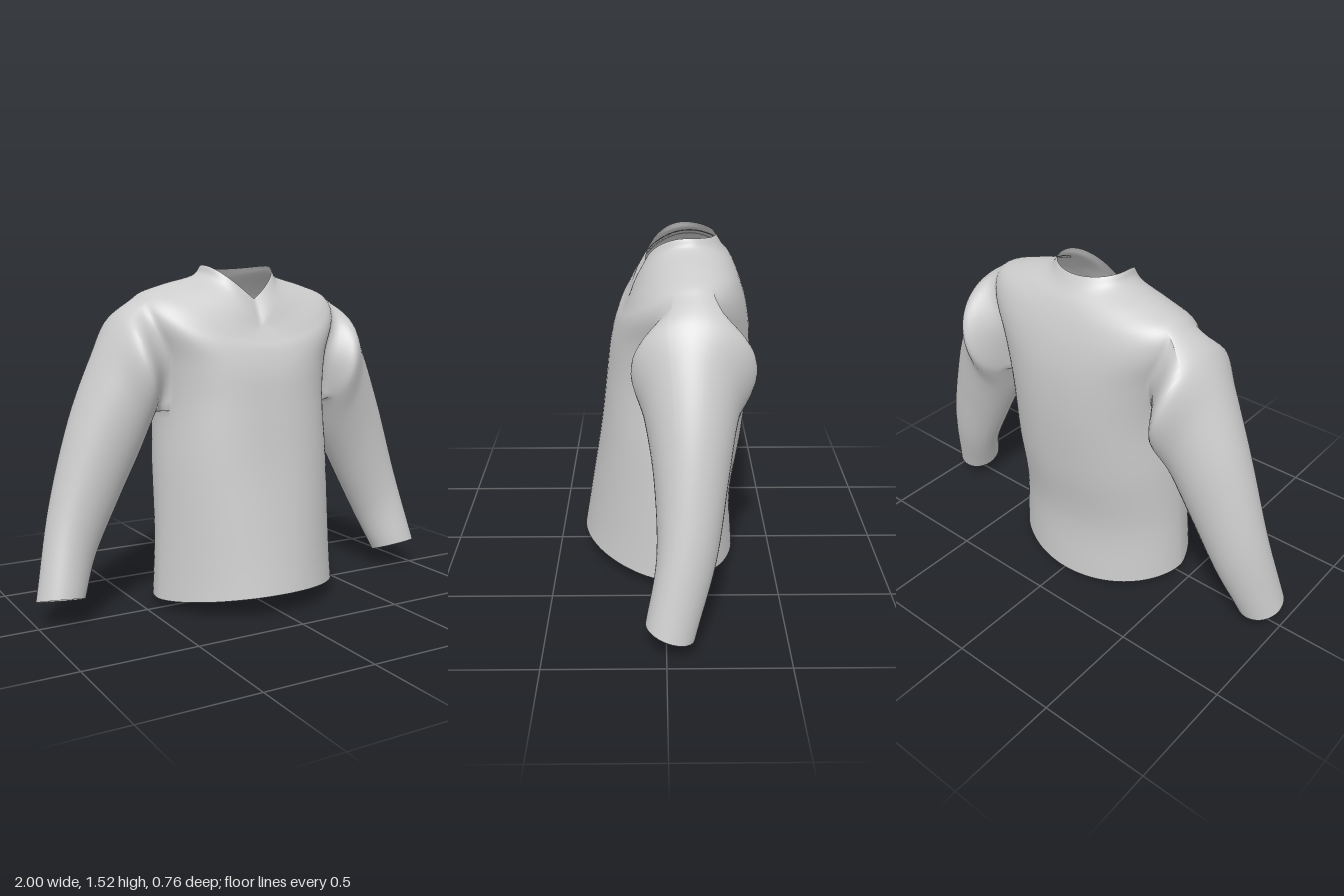
import * as THREE from 'three';

const COLS = 96;          // columns round the body
const SUB = 6;            // rows between two control rows
const R0 = 3 * SUB;       // armhole bottom row
const R1 = 6 * SUB;       // armhole top row
const K = 8;              // half armhole width in columns
const SLEEVE_SUB = 8;

// Control rows from hem to neck edge: side (x, y, z), front (y, z), back (y, z)
const rows = [
  [0.45, 0.045, 0.00, 0.10, 0.38, 0.00, -0.325],
  [0.435, 0.33, -0.01, 0.37, 0.335, 0.30, -0.31],
  [0.425, 0.63, -0.04, 0.65, 0.29, 0.60, -0.35],
  [0.41, 0.90, -0.07, 0.90, 0.26, 0.88, -0.375],
  [0.44, 1.13, -0.10, 1.05, 0.24, 1.09, -0.375],
  [0.50, 1.30, -0.11, 1.15, 0.21, 1.23, -0.355],
  [0.475, 1.388, -0.12, 1.20, 0.18, 1.33, -0.325],
  [0.35, 1.437, -0.12, 1.24, 0.155, 1.405, -0.29],
  [0.20, 1.478, -0.11, 1.275, 0.135, 1.46, -0.25],
  [0.165, 1.522, -0.09, 1.375, 0.085, 1.508, -0.22],
];
// Sleeve rings: top (x, y), bottom (x, y), front z, back z, tilt
const rings = [
  [0.475, 1.388, 0.41, 0.90, 0.07, -0.25, 0],
  [0.585, 1.305, 0.45, 0.85, 0.14, -0.365, 0],
  [0.68, 1.15, 0.505, 0.70, 0.09, -0.295, 0],
  [0.80, 0.87, 0.60, 0.50, 0.05, -0.25, 0],
  [0.91, 0.50, 0.715, 0.27, 0.04, -0.20, 0.01],
  [1.00, 0.115, 0.79, 0.095, 0.085, -0.115, 0.035],
];

const curve = (list, pick) =>
  new THREE.CatmullRomCurve3(list.map(r => new THREE.Vector3(...pick(r))), false, 'catmullrom', 0.5);
const side = curve(rows, r => r.slice(0, 3));
const front = curve(rows, r => [0, r[3], r[4]]);
const back = curve(rows, r => [0, r[5], r[6]]);
const sleeveTop = curve(rings, r => [r[0], r[1], 0]);
const sleeveBottom = curve(rings, r => [r[2], r[3], 0]);
const sleeveDepth = curve(rings, r => r.slice(4, 7));
const { lerp, smoothstep } = THREE.MathUtils;

// Point on the body: t counts control rows, angle runs from left side to front
function bodyPoint(t, angle) {
  const u = t / (rows.length - 1);
  const s = side.getPoint(u);
  const bump = c => Math.exp(-(((t - c) / 0.8) ** 2));
  const a = angle - 0.22 * (bump(3) + bump(6)) * Math.sin(2 * angle);
  const c = Math.cos(a), n = Math.sin(a), isFront = n >= 0;
  const m = (isFront ? front : back).getPoint(u);
  // fuller chest, rounder hem and neck
  const boxy = 1 - 0.2 * smoothstep(t, 0, 3) * (1 - smoothstep(t, 6, 8));
  const ratio = Math.abs(c) ** boxy;
  const depth = Math.abs(n) ** (isFront ? lerp(1.35, 1, smoothstep(t, 0, 3)) : 1);
  // neckline bends into a V at the front
  const vee = isFront ? lerp(2, 1.1, smoothstep(t, 5.5, 8)) : 2;
  return new THREE.Vector3(
    Math.sign(c) * s.x * ratio,
    lerp(m.y, s.y, ratio ** vee),
    lerp(s.z, m.z, depth));
}

export function createModel() {
  const points = [];
  const index = { body: [], hem: [], collar: [], leftSleeve: [], rightSleeve: [], leftCuff: [], rightCuff: [] };
  const quad = (part, a, b, c, d, flip = false) =>
    index[part].push(...(flip ? [a, b, d, b, c, d] : [a, d, b, b, d, c]));

  // Body shell with two armholes left open
  const rowCount = (rows.length - 1) * SUB;
  const at = (r, c) => r * COLS + ((c % COLS) + COLS) % COLS;
  for (let r = 0; r <= rowCount; r++)
    for (let c = 0; c < COLS; c++)
      points.push(bodyPoint(r / SUB, c / COLS * Math.PI * 2));
  for (let r = 0; r < rowCount; r++) {
    const part = r < 1 ? 'hem' : r >= rowCount - SUB ? 'collar' : 'body';
    for (let c = 0; c < COLS; c++) {
      const fromLeft = Math.min(c + 0.5, COLS - c - 0.5);
      const inHole = fromLeft < K || COLS / 2 - fromLeft < K;
      if (inHole && r >= R0 && r < R1) continue;
      quad(part, at(r, c), at(r, c + 1), at(r + 1, c + 1), at(r + 1, c));
    }
  }

  // Armhole edge: bottom, front, top, back
  const edge = [];
  for (let c = -K; c < K; c++) edge.push([R0, c]);
  for (let r = R0; r < R1; r++) edge.push([r, K]);
  for (let c = K; c > -K; c--) edge.push([R1, c]);
  for (let r = R1; r > R0; r--) edge.push([r, -K]);

  // Sleeves grow out of the armhole edges and settle into oval rings
  const steps = (rings.length - 1) * SLEEVE_SUB;
  const ringAt = u => {
    const top = sleeveTop.getPoint(u), bottom = sleeveBottom.getPoint(u), d = sleeveDepth.getPoint(u);
    const mid = top.clone().add(bottom).multiplyScalar(0.5);
    mid.z = (d.x + d.y) / 2;
    return { mid, up: top.sub(bottom).multiplyScalar(0.5), half: (d.x - d.y) / 2, tilt: d.z };
  };
  const start = ringAt(0);
  const rim = edge.map(([r, c]) => points[at(r, c)].clone());
  const angles = rim.map(p => {
    const v = p.clone().sub(start.mid);
    return Math.atan2(v.z / start.half, (v.x * start.up.x + v.y * start.up.y) / start.up.lengthSq());
  });
  for (const sign of [1, -1]) {
    const name = sign > 0 ? 'left' : 'right';
    let previous = edge.map(([r, c]) => at(r, sign > 0 ? c : COLS / 2 - c));
    for (let i = 1; i <= steps; i++) {
      const { mid, up, half, tilt } = ringAt(i / steps);
      const settle = smoothstep(i / SLEEVE_SUB, 0, 1.1);
      const current = angles.map((a, j) => {
        const oval = mid.clone().addScaledVector(up, Math.cos(a));
        oval.z += half * Math.sin(a);
        oval.y += tilt * Math.sin(a);
        // carry the armhole edge along the arm while it turns oval
        const carried = rim[j].clone().add(mid).sub(start.mid);
        const p = carried.lerp(oval, settle);
        p.x *= sign;
        return points.push(p) - 1;
      });
      const part = name + (i > steps - 1 ? 'Cuff' : 'Sleeve');
      for (let j = 0; j < edge.length; j++) {
        const k = (j + 1) % edge.length;
        quad(part, previous[j], previous[k], current[k], current[j], sign < 0);
      }
      previous = current;
    }
  }

  // Smooth normals run across all seams, then each part takes its own faces
  const whole = new THREE.BufferGeometry().setFromPoints(points);
  whole.setIndex(Object.values(index).flat());
  whole.computeVertexNormals();
  const material = new THREE.MeshStandardMaterial({ color: 0xcccccc, side: THREE.DoubleSide });
  const group = new THREE.Group();
  group.name = 'longSleevedTop';
  for (const [name, faces] of Object.entries(index)) {
    const geometry = new THREE.BufferGeometry();
    geometry.setAttribute('position', whole.getAttribute('position'));
    geometry.setAttribute('normal', whole.getAttribute('normal'));
    geometry.setIndex(faces);
    const mesh = new THREE.Mesh(geometry, material);
    mesh.name = name;
    group.add(mesh);
  }
  return group;
}
